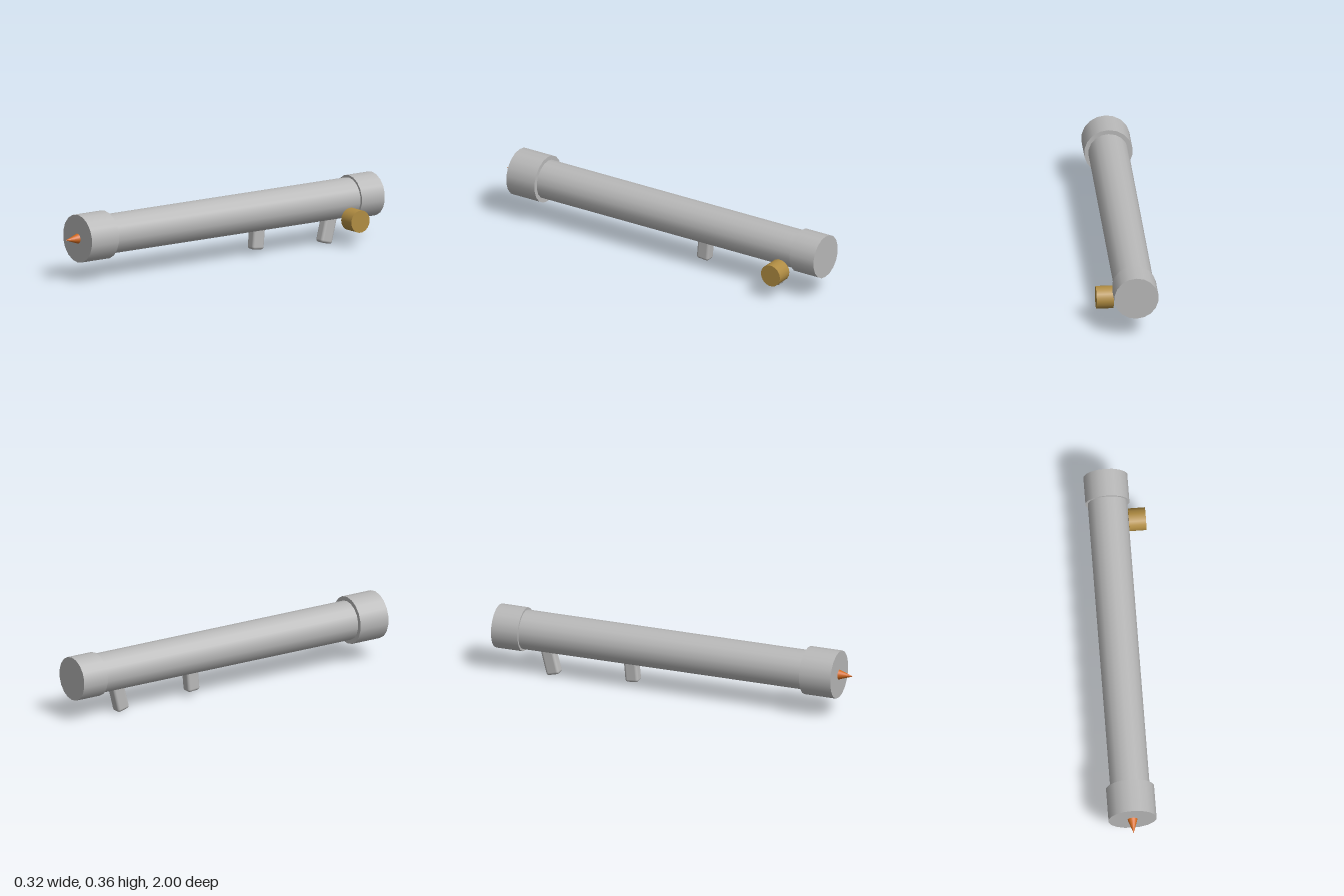
import * as THREE from 'three';
import { RoundedBoxGeometry } from 'three/addons/geometries/RoundedBoxGeometry.js';

export function createModel() {
  const model = new THREE.Group();
  const grey = new THREE.MeshStandardMaterial({ name: 'grey metal', color: 0xb8b8b8 });
  const brass = new THREE.MeshStandardMaterial({ name: 'brass', color: 0xb08c42 });
  const orange = new THREE.MeshStandardMaterial({ name: 'orange', color: 0xd2691e });
  const cx = -0.036, cy = 0.231;

  function add(name, geometry, material, x, y, z) {
    const mesh = new THREE.Mesh(geometry, material);
    mesh.name = name;
    mesh.position.set(x, y, z);
    model.add(mesh);
    return mesh;
  }

  // Round part along z, between two depths
  function barrelPart(name, radius, z0, z1) {
    const geometry = new THREE.CylinderGeometry(radius, radius, z1 - z0, 18).rotateX(Math.PI / 2);
    add(name, geometry, grey, cx, cy, (z0 + z1) / 2);
  }

  // Tube with a collar at each end
  barrelPart('tube', 0.105, -0.99, 0.91);
  barrelPart('frontCollar', 0.128, 0.745, 0.922);
  barrelPart('rearCollar', 0.117, -1, -0.85);

  // Pointed tip in the muzzle
  const tip = new THREE.ConeGeometry(0.027, 0.08, 18).rotateX(Math.PI / 2);
  add('tip', tip, orange, cx, cy, 0.96);

  // Round sight on the left side
  const sight = new THREE.CylinderGeometry(0.06, 0.06, 0.09, 18).rotateZ(Math.PI / 2);
  add('sideSight', sight, brass, 0.115, 0.14, -0.782);

  // Rounded grips, leaning forward at the bottom
  function grip(name, length, y, z, lean) {
    const geometry = new RoundedBoxGeometry(0.06, length, 0.074, 3, 0.015);
    add(name, geometry, grey, cx, y, z).rotation.x = -lean;
  }
  grip('frontGrip', 0.14, 0.098, -0.247, 0.09);
  grip('rearGrip', 0.16, 0.083, -0.706, 0.25);

  return model;
}
